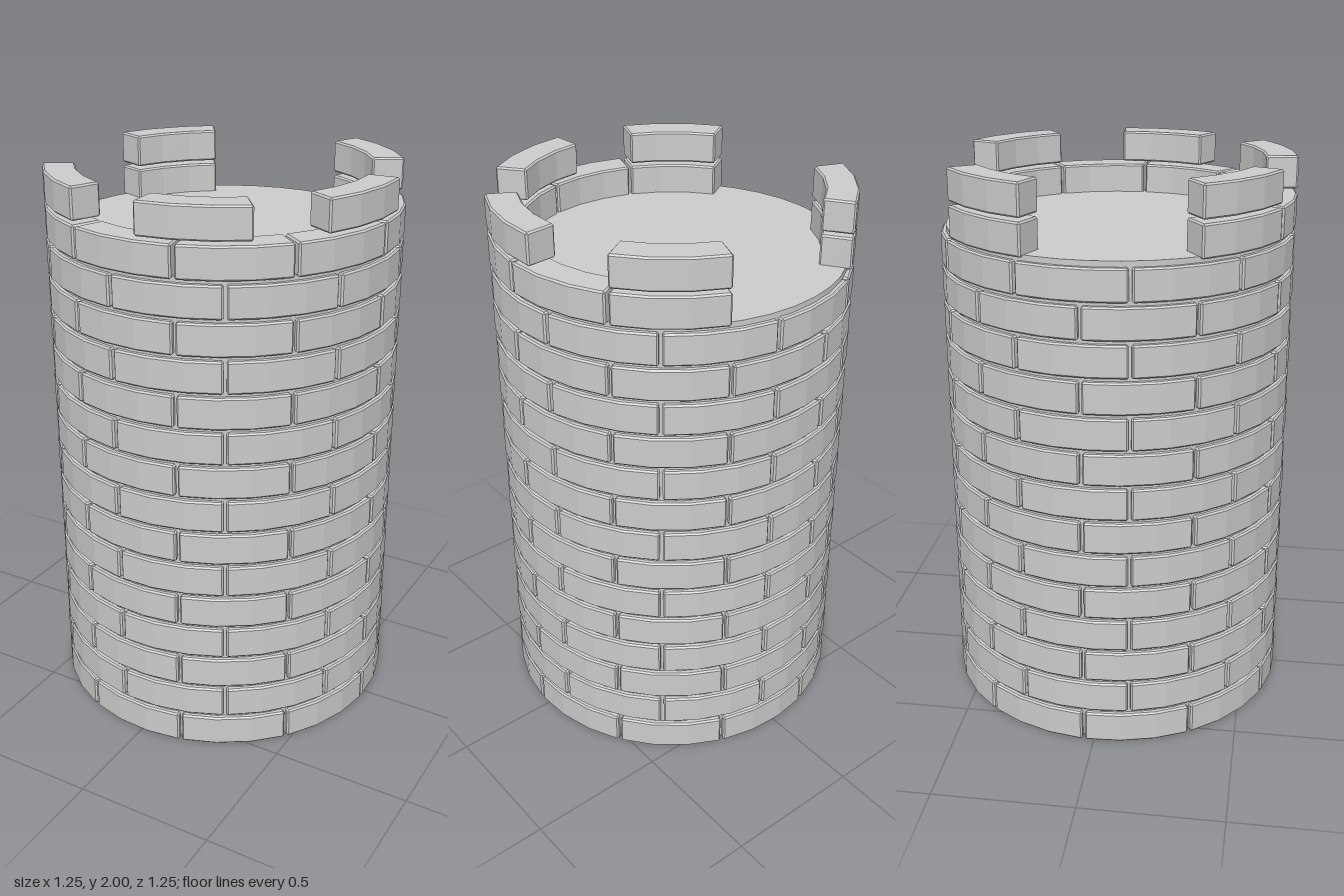
import * as THREE from 'three';

const INNER = 0.515, OUTER = 0.627;   // brick radii
const HEIGHT = 0.113, PITCH = 0.1258; // brick height, row spacing
const SPAN = 35, BEVEL = 0.006;       // brick arc in degrees, edge chamfer
const rad = THREE.MathUtils.degToRad;

// Curved brick with chamfered edges: a cross-section swept over three flat facets, starting at angle 0 (+z)
function brickGeometry() {
  const b = BEVEL;
  // chamfered rectangle in (radius, height), counter-clockwise
  const full = [
    [INNER + b, 0], [OUTER - b, 0], [OUTER, b], [OUTER, HEIGHT - b],
    [OUTER - b, HEIGHT], [INNER + b, HEIGHT], [INNER, HEIGHT - b], [INNER, b],
  ];
  const clamp = THREE.MathUtils.clamp;
  const inset = full.map(([r, y]) => [clamp(r, INNER + b, OUTER - b), clamp(y, b, HEIGHT - b)]);
  const d = b / OUTER, end = rad(SPAN);
  const sections = [
    [0, inset], [d, full], [end / 3, full], [2 * end / 3, full], [end - d, full], [end, inset],
  ].map(([a, profile]) => profile.map(([r, y]) => new THREE.Vector3(r * Math.sin(a), y, r * Math.cos(a))));

  const points = [];
  const tri = (p, q, s) => {
    const area = q.clone().sub(p).cross(s.clone().sub(p)).length();
    if (area > 1e-9) points.push(p, q, s);
  };
  for (let i = 0; i < sections.length - 1; i++) {
    for (let j = 0; j < 8; j++) {
      const k = (j + 1) % 8, s = sections[i], t = sections[i + 1];
      tri(s[j], t[j], t[k]);
      tri(s[j], t[k], s[k]);
    }
  }
  // end caps
  const first = sections[0], last = sections[sections.length - 1];
  for (let j = 1; j < 7; j++) {
    tri(first[0], first[j], first[j + 1]);
    tri(last[0], last[j + 1], last[j]);
  }
  const geometry = new THREE.BufferGeometry().setFromPoints(points);
  geometry.computeVertexNormals();
  return geometry;
}

export function createModel() {
  const tower = new THREE.Group();
  tower.name = 'tower';
  const stone = new THREE.MeshStandardMaterial({ color: 0xcccccc, flatShading: true });
  const smooth = new THREE.MeshStandardMaterial({ color: 0xcccccc });
  const brick = brickGeometry();

  // One row of bricks; each starts at the given angle, measured from the front towards the left
  function addRow(name, row, angles) {
    const group = new THREE.Group();
    group.name = name;
    group.position.y = row * PITCH;
    for (const angle of angles) {
      const mesh = new THREE.Mesh(brick, stone);
      mesh.name = 'brick';
      mesh.rotation.y = rad(angle + (36 - SPAN) / 2);
      group.add(mesh);
    }
    tower.add(group);
  }

  // Solid core that closes the joints and forms the roof floor
  const bottom = 0.01, top = 1.768;
  const core = new THREE.Mesh(new THREE.CylinderGeometry(0.608, 0.608, top - bottom, 40), smooth);
  core.name = 'core';
  core.position.y = (top + bottom) / 2;
  tower.add(core);

  // Full wall rows in running bond
  for (let row = 0; row < 14; row++) {
    const start = row % 2 ? -6.3 : -21.4;
    addRow('wallRow', row, Array.from({ length: 10 }, (_, i) => start + i * 36));
  }

  // Broken parapet and the five merlons on top
  addRow('parapet', 14, [-57.4, -21.4, 14.6, 50.6, 86.6, 122.6, 213]);
  addRow('merlons', 15, [-57.4, 2.3, 60.3, 122.6, 213]);

  return tower;
}
